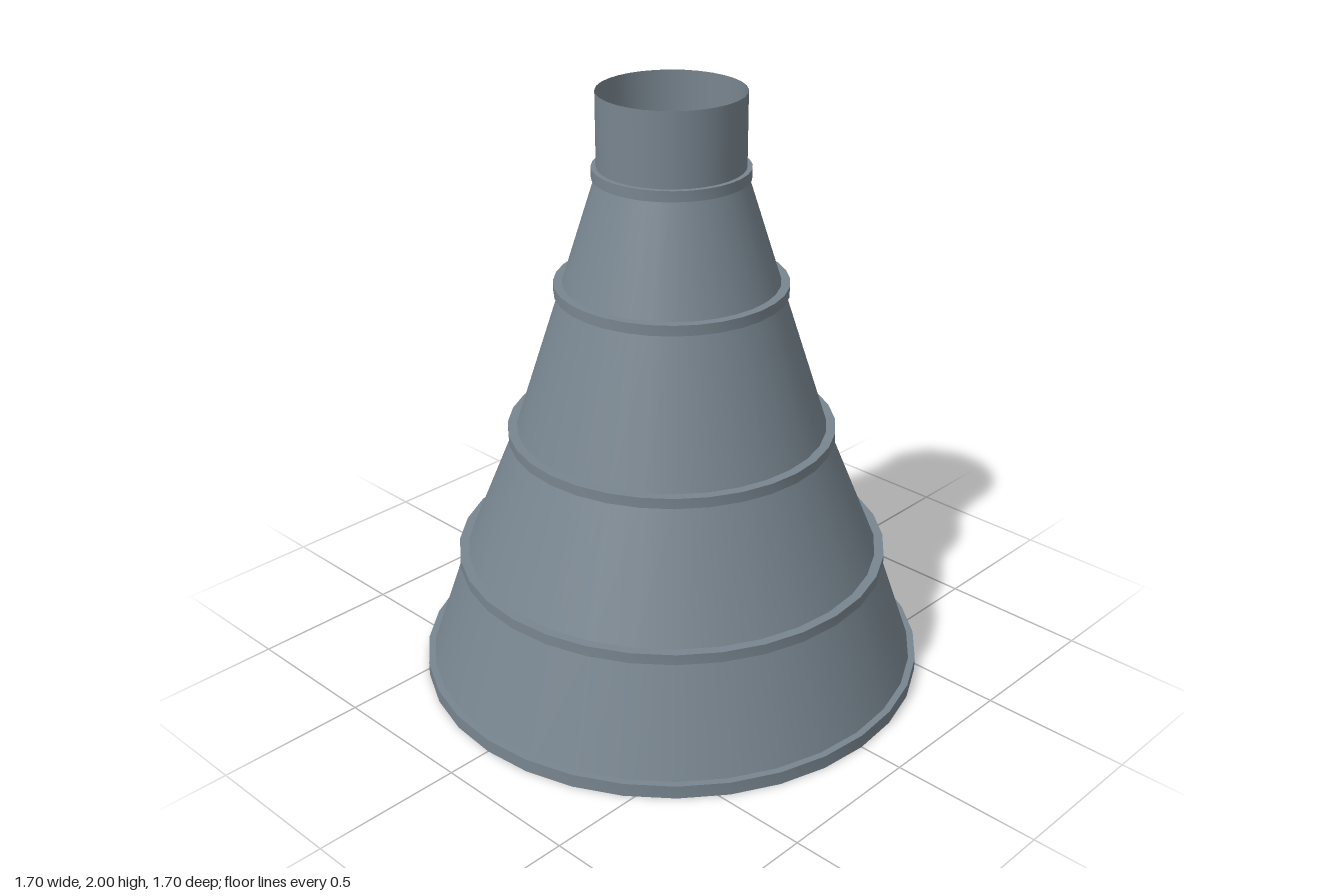
import * as THREE from 'three';
import { toCreasedNormals } from 'three/addons/utils/BufferGeometryUtils.js';

const SIDES = 32;

export function createModel() {
  const group = new THREE.Group();
  const steel = new THREE.MeshStandardMaterial({ color: 0x78858f, side: THREE.DoubleSide });
  steel.name = 'slate grey steel';
  const dark = new THREE.MeshStandardMaterial({ color: 0x222222 });
  dark.name = 'dark core';

  const add = (name, geometry, material) => {
    const mesh = new THREE.Mesh(geometry, material);
    mesh.name = name;
    group.add(mesh);
    return mesh;
  };

  // Stacked open shell sections: [radius, height] at each joint
  const joints = [[0.84, 0], [0.698, 0.42], [0.516, 0.865], [0.355, 1.365], [0.235, 1.743], [0.235, 2]];
  const names = ['skirt', 'lowerCone', 'middleCone', 'upperCone', 'neck'];
  names.forEach((name, i) => {
    const [r0, y0] = joints[i];
    const [r1, y1] = joints[i + 1];
    const shell = new THREE.CylinderGeometry(r1, r0, y1 - y0, SIDES, 1, true);
    shell.translate(0, (y0 + y1) / 2, 0);
    add(name, shell, steel);
  });

  // Raised bands over the joints: [inner radius, outer radius, bottom, top]
  const bands = [
    [0.825, 0.848, 0, 0.045],
    [0.685, 0.721, 0.404, 0.44],
    [0.505, 0.541, 0.847, 0.882],
    [0.342, 0.378, 1.347, 1.382],
    [0.232, 0.251, 1.726, 1.761],
  ];
  bands.forEach(([inner, outer, bottom, top], i) => {
    const profile = [[inner, bottom], [outer, bottom], [outer, top], [inner, top], [inner, bottom]]
      .map(([r, y]) => new THREE.Vector2(r, y));
    const ring = toCreasedNormals(new THREE.LatheGeometry(profile, SIDES), Math.PI / 6);
    add(i === 0 ? 'baseRim' : 'jointBand' + i, ring, steel);
  });

  // Dark plate set inside the neck, with a narrow gap around it
  const plate = add('neckPlate', new THREE.CylinderGeometry(0.217, 0.217, 0.02, SIDES), dark);
  plate.position.y = 1.83;

  return group;
}
